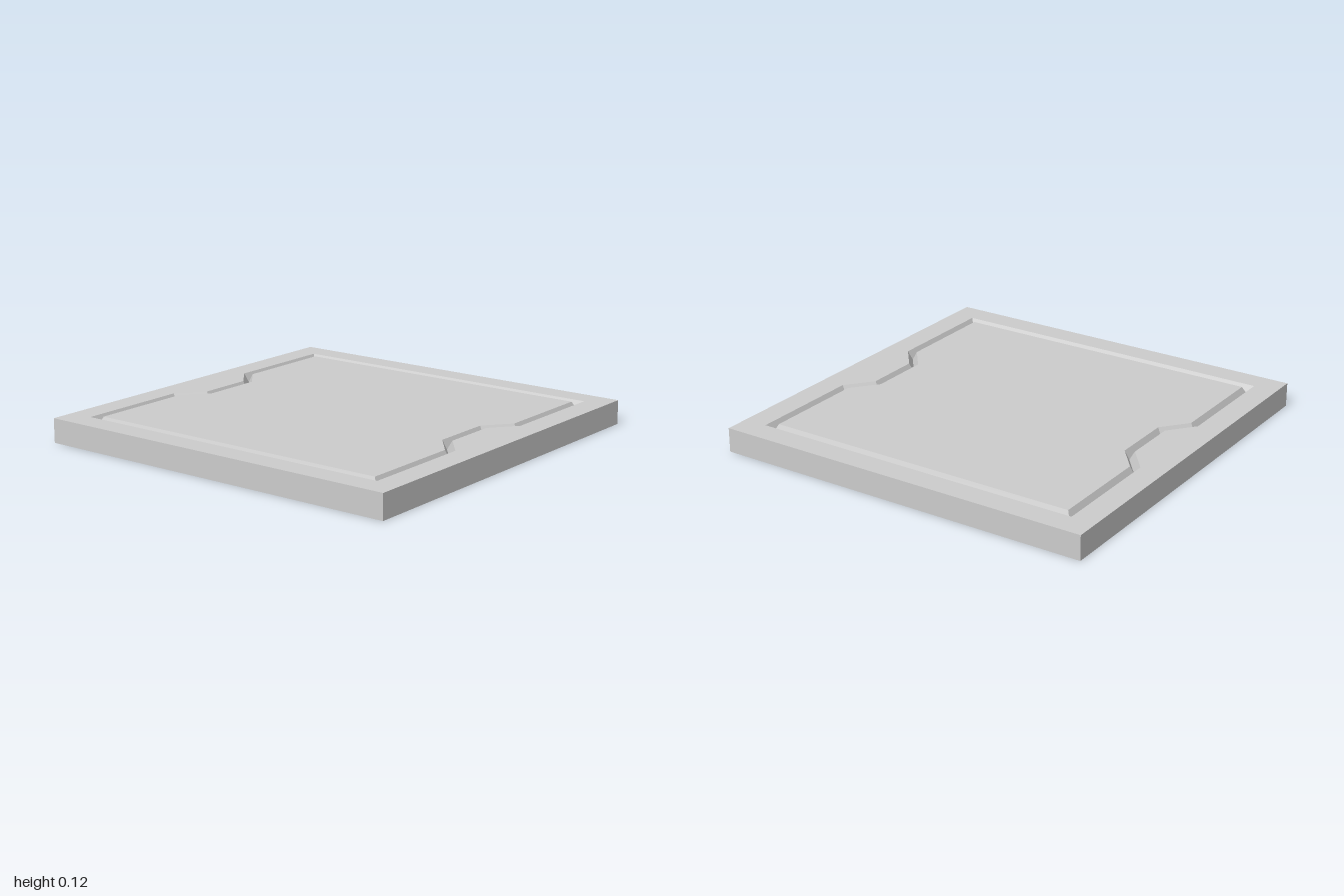
import * as THREE from 'three';

const H = 0.125;      // slab thickness
const DEPTH = 0.045;  // depth of the V groove

// Groove outline at a given inset, counter-clockwise: a square with a notch in each side.
function outline(inset) {
  const e = 0.875 - inset;          // straight edge
  const n = 0.767 - inset;          // notch edge
  const k = 0.36 * inset;           // mitre shift of the notch corners
  const half = [[e, -e], [e, -0.277 - k], [n, -0.143 - k], [n, 0.143 + k], [e, 0.277 + k], [e, e]];
  return [...half, ...half.map(([x, y]) => [-x, -y])].map(([x, y]) => new THREE.Vector2(x, y));
}

// Sloping wall between two outlines at different heights.
function wall(a, za, b, zb) {
  const pos = [];
  for (let i = 0; i < a.length; i++) {
    const j = (i + 1) % a.length;
    const a0 = [a[i].x, a[i].y, za], a1 = [a[j].x, a[j].y, za];
    const b0 = [b[i].x, b[i].y, zb], b1 = [b[j].x, b[j].y, zb];
    pos.push(...a0, ...a1, ...b1, ...a0, ...b1, ...b0);
  }
  const g = new THREE.BufferGeometry();
  g.setAttribute('position', new THREE.Float32BufferAttribute(pos, 3));
  g.computeVertexNormals();
  return g;
}

export function createModel() {
  const model = new THREE.Group();
  model.name = 'groovedSlab';
  const material = new THREE.MeshStandardMaterial({ color: 0xcccccc, flatShading: true });

  const outer = outline(0), valley = outline(0.024), inner = outline(0.046);

  // Border around the groove
  const border = new THREE.Shape([[-1, -1], [1, -1], [1, 1], [-1, 1]].map(([x, y]) => new THREE.Vector2(x, y)));
  border.holes.push(new THREE.Path(outer));

  const faceParts = {
    border: new THREE.ShapeGeometry(border),
    panel: new THREE.ShapeGeometry(new THREE.Shape(inner)),
    grooveOuterWall: wall(outer, 0, valley, -DEPTH),
    grooveInnerWall: wall(valley, -DEPTH, inner, 0),
  };

  // The same grooved face on the top and on the underside
  for (const [name, y, rx] of [['topFace', H, -Math.PI / 2], ['bottomFace', 0, Math.PI / 2]]) {
    const face = new THREE.Group();
    face.name = name;
    face.position.y = y;
    face.rotation.x = rx;
    for (const [part, geometry] of Object.entries(faceParts)) {
      const mesh = new THREE.Mesh(geometry, material);
      mesh.name = part;
      face.add(mesh);
    }
    model.add(face);
  }

  // Four upright sides
  const sides = new THREE.Mesh(
    new THREE.CylinderGeometry(Math.SQRT2, Math.SQRT2, H, 4, 1, true).rotateY(Math.PI / 4).toNonIndexed(), material);
  sides.geometry.computeVertexNormals();
  sides.position.y = H / 2;
  sides.name = 'sides';
  model.add(sides);

  return model;
}
